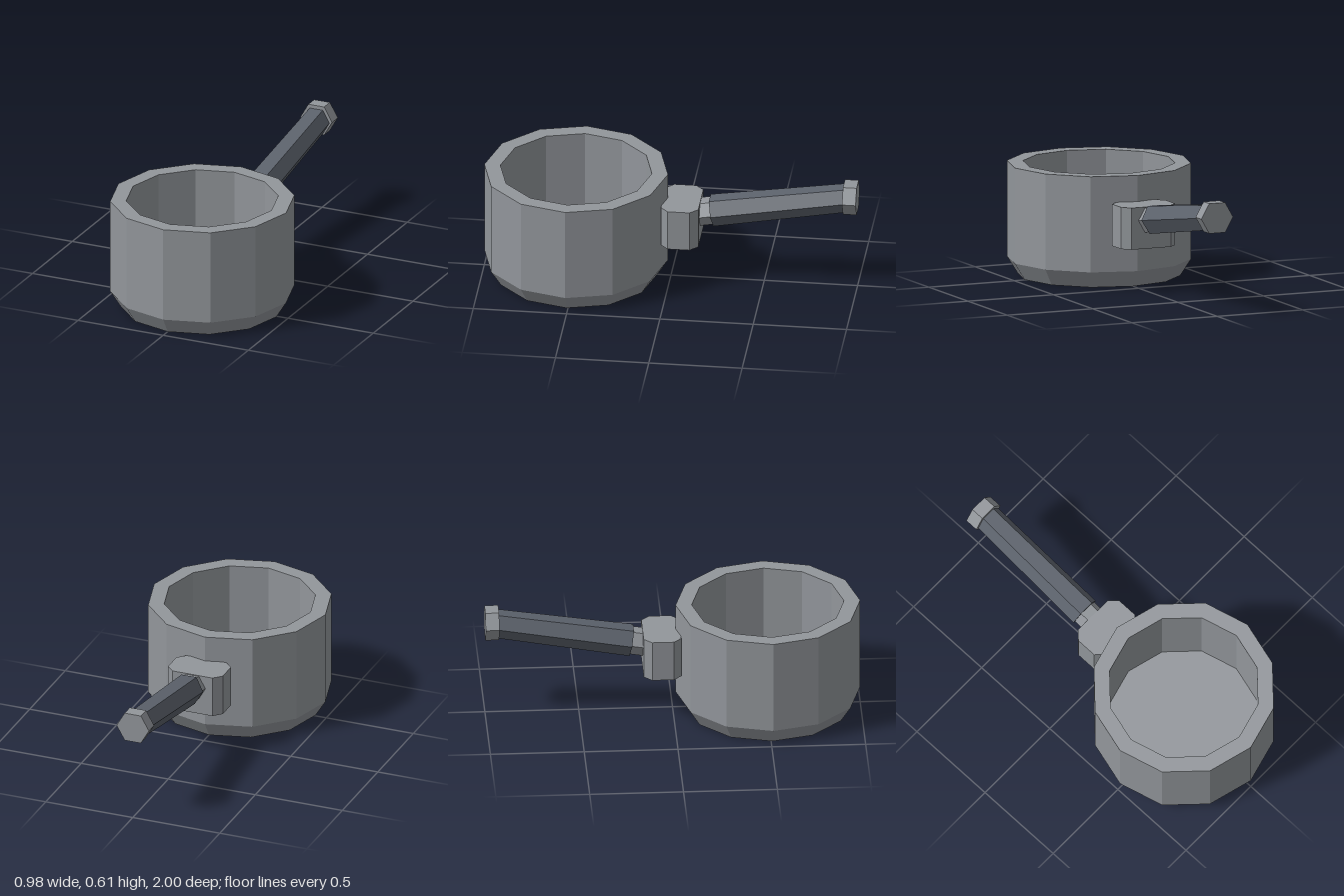
import * as THREE from 'three';

const steel = new THREE.MeshStandardMaterial({ color: 0x92969b });
steel.name = 'steel';
const grip = new THREE.MeshStandardMaterial({ color: 0x5c626c });
grip.name = 'dark grip';

// Faceted mesh: every face gets its own flat normal
function facetedMesh(name, geometry, material) {
  const flat = geometry.index ? geometry.toNonIndexed() : geometry;
  flat.computeVertexNormals();
  const mesh = new THREE.Mesh(flat, material);
  mesh.name = name;
  return mesh;
}

// Six-sided bar with a flat top, running between two [y, z] points
function hexBar(name, from, to, r0, r1, material) {
  const dy = to[0] - from[0];
  const dz = to[1] - from[1];
  const geo = new THREE.CylinderGeometry(r1, r0, Math.hypot(dy, dz), 6, 1, false, Math.PI / 6);
  geo.rotateX(Math.atan2(dz, dy));
  geo.translate(0, (from[0] + to[0]) / 2, (from[1] + to[1]) / 2);
  return facetedMesh(name, geo, material);
}

export function createModel() {
  const model = new THREE.Group();
  model.name = 'saucepan';

  // Twelve-sided pot: chamfered base, thick rim and hollow inside
  const profile = [
    [0, 0], [0.435, 0], [0.492, 0.09], [0.492, 0.606],
    [0.406, 0.606], [0.406, 0.09], [0, 0.09],
  ].map(([r, y]) => new THREE.Vector2(r, y));
  const pot = facetedMesh('pot', new THREE.LatheGeometry(profile, 12), steel);
  pot.position.z = 0.508;
  model.add(pot);

  // Bracket block with chamfered upright corners
  const outline = [
    [-0.115, -0.04], [0.115, -0.04], [0.157, 0], [0.157, 0.117],
    [0.115, 0.16], [-0.115, 0.16], [-0.157, 0.117], [-0.157, 0],
  ].map(([x, y]) => new THREE.Vector2(x, y));
  const block = new THREE.ExtrudeGeometry(new THREE.Shape(outline), { depth: 0.225, bevelEnabled: false });
  block.rotateX(-Math.PI / 2);
  block.translate(0, 0.24, 0);
  model.add(facetedMesh('handleBracket', block, steel));

  // Rising handle: neck, tapered grip and end cap
  model.add(hexBar('handleNeck', [0.384, -0.1], [0.408, -0.24], 0.075, 0.075, steel));
  model.add(hexBar('handleGrip', [0.405, -0.22], [0.525, -0.94], 0.086, 0.077, grip));
  model.add(hexBar('handleCap', [0.53, -0.927], [0.53, -1], 0.093, 0.093, steel));

  return model;
}
